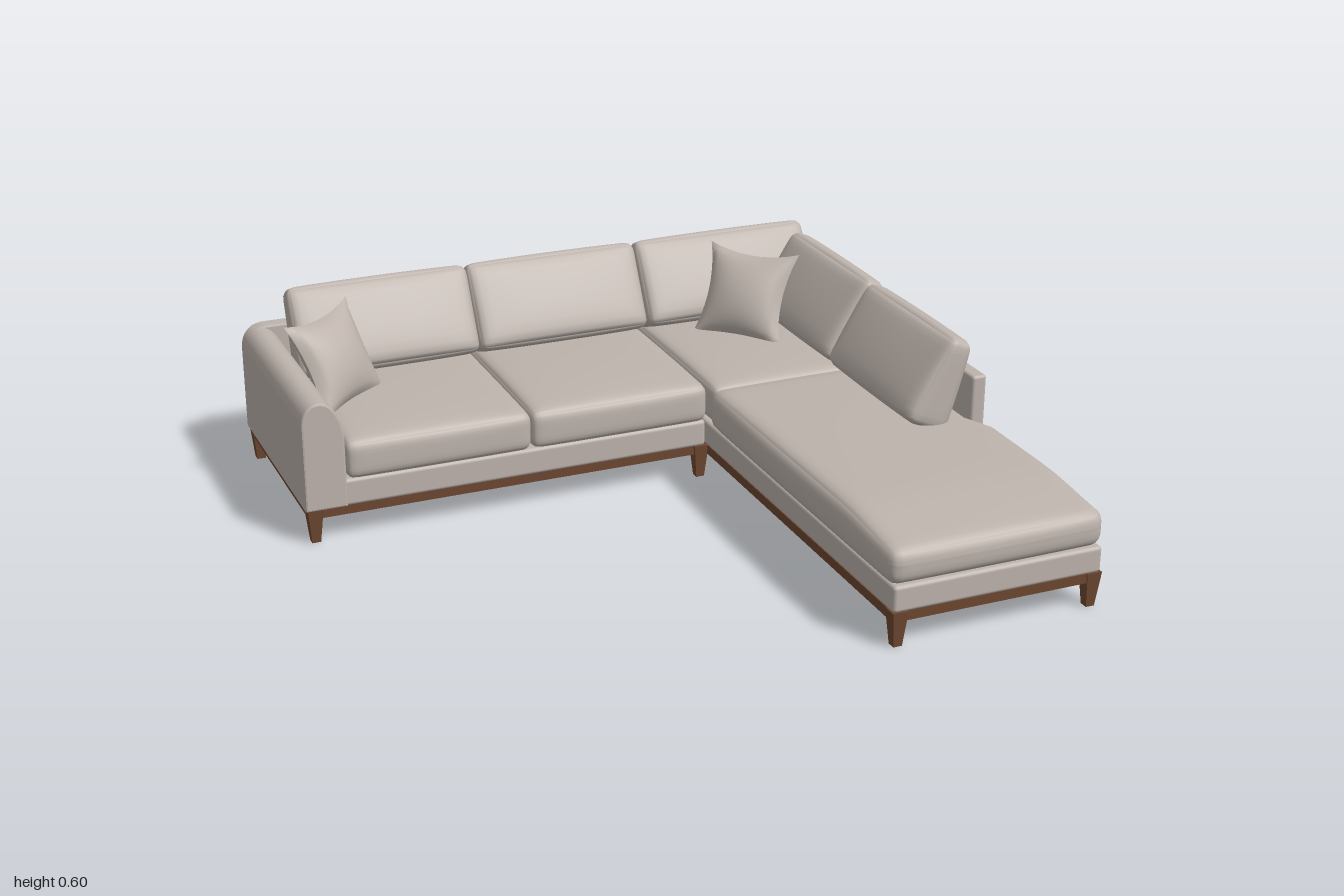
import * as THREE from 'three';
import { mergeVertices } from 'three/addons/utils/BufferGeometryUtils.js';
import { RoundedBoxGeometry } from 'three/addons/geometries/RoundedBoxGeometry.js';

const mat = (name, color) => {
  const m = new THREE.MeshStandardMaterial({ color });
  m.name = name;
  return m;
};

// Soft block: rounded edges, faces swollen by crown [x, y, z]
function cushionGeometry(w, h, d, r, crown, warp) {
  let g = new THREE.BoxGeometry(2, 2, 2, 20, 12, 20);
  g.deleteAttribute('uv');
  g.deleteAttribute('normal');
  g = mergeVertices(g);
  const p = g.attributes.position;
  const half = new THREE.Vector3(w / 2, h / 2, d / 2);
  const inner = half.clone().subScalar(r);
  const v = new THREE.Vector3(), c = new THREE.Vector3();
  for (let i = 0; i < p.count; i++) {
    v.fromBufferAttribute(p, i);
    // crowd the grid towards the edges
    const [x, y, z] = v.toArray().map(t => Math.sin(t * Math.PI / 2));
    v.set(x, y, z).multiply(half);
    c.copy(v).clamp(inner.clone().negate(), inner);
    v.sub(c);
    if (v.lengthSq() > 0) v.setLength(r);
    v.add(c);
    const fx = 1 - x * x, fy = 1 - y * y, fz = 1 - z * z;
    v.x += crown[0] * x * fy * fz;
    v.y += crown[1] * y * Math.sqrt(Math.max(0, fx * fz));
    v.z += crown[2] * z * Math.sqrt(Math.max(0, fx * fy));
    if (warp) warp(v);
    p.setXYZ(i, v.x, v.y, v.z);
  }
  g.computeVertexNormals();
  return g;
}

// One face of a throw pillow, pinched at the four corners
function pillowFace(half, puff) {
  const g = new THREE.PlaneGeometry(2, 2, 18, 18);
  const p = g.attributes.position;
  for (let i = 0; i < p.count; i++) {
    const u = p.getX(i), v = p.getY(i);
    const a = 1 - u * u, b = 1 - v * v;
    p.setXYZ(i, half * u * (1 - 0.17 * b), half * v * (1 - 0.17 * a), puff * Math.pow(a * b, 0.6));
  }
  g.computeVertexNormals();
  return g;
}

export function createModel() {
  const model = new THREE.Group();
  const fabric = mat('warm grey fabric', 0xbdb3ac);
  const wood = mat('walnut wood', 0x6c4730);

  const add = (name, geometry, material, x = 0, y = 0, z = 0) => {
    const m = new THREE.Mesh(geometry, material);
    m.name = name;
    m.position.set(x, y, z);
    model.add(m);
    return m;
  };
  // Block given by its limits on each axis
  const block = (name, material, [x0, x1], [y0, y1], [z0, z1], r = 0) => {
    const s = [x1 - x0, y1 - y0, z1 - z0];
    const g = r ? new RoundedBoxGeometry(...s, 3, r) : new THREE.BoxGeometry(...s);
    return add(name, g, material, (x0 + x1) / 2, (y0 + y1) / 2, (z0 + z1) / 2);
  };

  // Upholstered bases
  block('sofaBase', fabric, [-0.98, 0.315], [0.108, 0.195], [-0.99, -0.265], 0.012);
  block('chaiseBase', fabric, [0.318, 0.985], [0.108, 0.19], [-0.99, 0.988], 0.012);

  // Back wall, its outer top corner rounded to follow the arm
  const extrude = (shape, depth) => new THREE.ExtrudeGeometry(shape, {
    depth: depth - 0.012, bevelThickness: 0.006, bevelSize: 0.006, bevelOffset: -0.006,
    bevelSegments: 2, curveSegments: 14,
  });
  const back = new THREE.Shape();
  back.moveTo(-0.995, 0.11);
  back.lineTo(0.988, 0.11);
  back.lineTo(0.988, 0.46);
  back.lineTo(-0.92, 0.46);
  back.bezierCurveTo(-0.965, 0.46, -0.995, 0.43, -0.995, 0.38);
  add('backWall', extrude(back, 0.052), fabric, 0, 0, -0.99);

  // Rounded arm at the right end, its top sloping inwards
  const arm = new THREE.Shape();
  arm.moveTo(-0.995, 0.11);
  arm.lineTo(-0.865, 0.11);
  arm.lineTo(-0.865, 0.34);
  arm.bezierCurveTo(-0.87, 0.39, -0.895, 0.455, -0.94, 0.455);
  arm.bezierCurveTo(-0.975, 0.455, -0.995, 0.42, -0.995, 0.38);
  add('arm', extrude(arm, 0.73), fabric, 0, 0, -0.984);

  // Side wall behind the chaise
  block('sideWall', fabric, [0.94, 0.988], [0.11, 0.46], [-0.996, 0.31], 0.01);

  // Seat cushions
  const seats = [
    ['seatCushion', -0.862, -0.269, -0.93, -0.262],
    ['seatCushion', -0.271, 0.322, -0.93, -0.262],
    ['cornerSeatCushion', 0.325, 0.935, -0.93, -0.225],
  ];
  for (const [name, x0, x1, z0, z1] of seats) {
    const g = cushionGeometry(x1 - x0, 0.125, z1 - z0, 0.03, [0, 0.02, 0.006]);
    add(name, g, fabric, (x0 + x1) / 2, 0.252, (z0 + z1) / 2);
  }
  // Chaise cushion narrows beside the side wall and drops towards its front
  const shapeChaise = v => {
    if (v.x > 0) v.x *= 1 - 0.125 * (1 - THREE.MathUtils.smoothstep(v.z, -0.075, -0.03));
    if (v.y > 0) v.y -= 0.022 * THREE.MathUtils.smoothstep(v.z, 0.3, 0.61);
  };
  add('chaiseCushion', cushionGeometry(0.685, 0.135, 1.215, 0.04, [0.006, 0.012, 0.006], shapeChaise),
    fabric, 0.645, 0.256, 0.385);

  // Leaning back cushions, thinner towards the top
  const thinTop = v => { v.z *= 1 - 2.2 * v.y; };
  const backCushion = (width, x, z, turn) => {
    const m = add('backCushion', cushionGeometry(width, 0.285, 0.11, 0.028, [0, 0.006, 0.02], thinTop),
      fabric, x, 0.457, z);
    m.rotation.set(-0.41, turn, 0, 'YXZ');
  };
  backCushion(0.6, -0.568, -0.85, 0);
  backCushion(0.59, 0.025, -0.85, 0);
  backCushion(0.62, 0.632, -0.85, 0);
  backCushion(0.555, 0.838, -0.505, -Math.PI / 2);
  backCushion(0.56, 0.832, 0.055, -Math.PI / 2);

  // Throw pillows
  const face = pillowFace(0.16, 0.062);
  for (const [x, y, z, turn, tilt] of [
    [-0.787, 0.448, -0.61, 0.67, -0.45],
    [0.62, 0.452, -0.635, -0.87, -0.48],
  ]) {
    const pillow = new THREE.Group();
    pillow.name = 'throwPillow';
    for (const side of [0, Math.PI]) {
      const m = new THREE.Mesh(face, fabric);
      m.name = side ? 'pillowBack' : 'pillowFront';
      m.rotation.y = side;
      pillow.add(m);
    }
    pillow.position.set(x, y, z);
    pillow.rotation.set(tilt, turn, 0, 'YXZ');
    model.add(pillow);
  }

  // Wooden frames and undersides
  for (const [x0, x1, z0, z1] of [
    [-0.985, 0.316, -0.988, -0.272],
    [0.32, 0.983, -0.988, 0.984],
  ]) {
    const t = 0.024, y = [0.08, 0.11];
    block('frameRail', wood, [x0, x1], y, [z0, z0 + t]);
    block('frameRail', wood, [x0, x1], y, [z1 - t, z1]);
    block('frameRail', wood, [x0, x0 + t], y, [z0 + t, z1 - t]);
    block('frameRail', wood, [x1 - t, x1], y, [z0 + t, z1 - t]);
    block('underside', wood, [x0 + t, x1 - t], [0.09, 0.107], [z0 + t, z1 - t]);
  }

  // Tapered legs
  const leg = new THREE.CylinderGeometry(0.034, 0.019, 0.11, 4).rotateY(Math.PI / 4).toNonIndexed();
  leg.computeVertexNormals();
  for (const [x, z] of [
    [-0.965, -0.968], [-0.965, -0.29], [0.3, -0.285], [0.315, -0.968],
    [0.963, -0.968], [0.963, 0.966], [0.341, 0.966],
  ]) add('leg', leg, wood, x, 0.055, z);
  return model;
}
